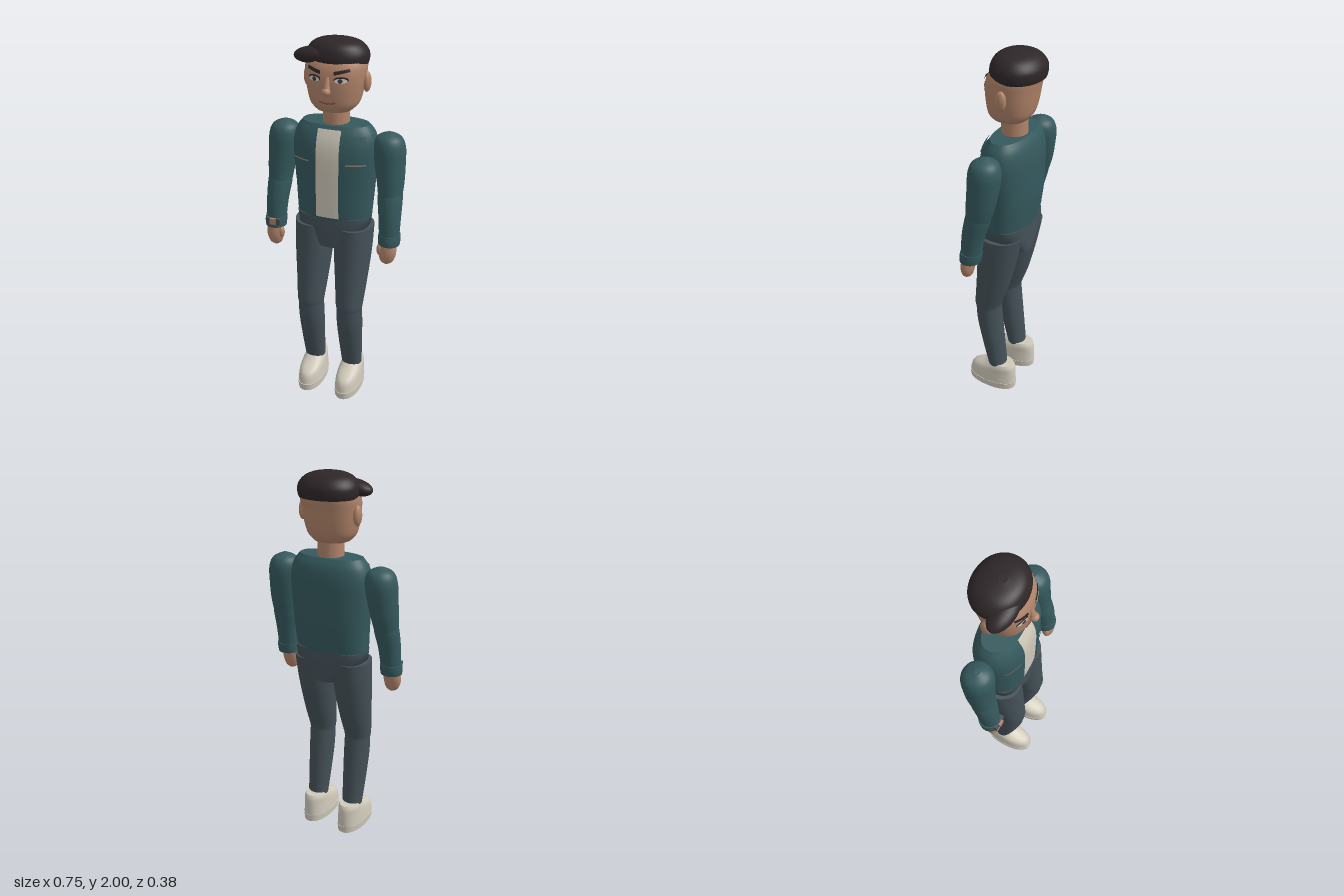
import * as THREE from 'three';

const mat = (name, color, side = THREE.FrontSide) => {
  const m = new THREE.MeshStandardMaterial({ color, side });
  m.name = name;
  return m;
};

// Spline through one column of a section table, t from 0 to 1
const column = (sections, k) => {
  const curve = new THREE.SplineCurve(sections.map((s, i) => new THREE.Vector2(i, s[k])));
  return t => curve.getPoint(t).y;
};

// Closed body from horizontal superellipse sections [y, cx, cz, rx, rz], bottom to top
function loft(sections, { n = 2, steps = 5, seg = 40, side = 1 } = {}) {
  const cols = [0, 1, 2, 3, 4].map(k => column(sections, k));
  const rows = (sections.length - 1) * steps;
  const pos = [], idx = [];
  const pw = v => Math.sign(v) * Math.abs(v) ** (2 / n);
  const ring = t => {
    const [y, cx, cz, rx, rz] = cols.map(c => c(t));
    for (let j = 0; j < seg; j++) {
      const a = (j / seg) * Math.PI * 2;
      pos.push(cx * side + rx * pw(Math.cos(a)), y, cz + rz * pw(Math.sin(a)));
    }
    return [cx * side, y, cz];
  };
  for (let i = 0; i <= rows; i++) ring(i / rows);
  for (let i = 0; i < rows; i++) for (let j = 0; j < seg; j++) {
    const a = i * seg + j, b = i * seg + (j + 1) % seg;
    idx.push(a, a + seg, b, b, a + seg, b + seg);
  }
  // Flat caps with their own vertices keep the rims sharp
  for (const t of [0, 1]) {
    const start = pos.length / 3;
    pos.push(...ring(t));
    for (let j = 0; j < seg; j++) {
      const a = start + j, b = start + (j + 1) % seg;
      if (t) idx.push(start + seg, b, a); else idx.push(start + seg, a, b);
    }
  }
  const g = new THREE.BufferGeometry();
  g.setAttribute('position', new THREE.Float32BufferAttribute(pos, 3));
  g.setIndex(idx);
  g.computeVertexNormals();
  return g;
}

// Front surface z of a lofted body at (x, y)
function frontOf(sections, n) {
  const cols = [0, 2, 3, 4].map(k => column(sections, k));
  return (x, y) => {
    let lo = 0, hi = 1;
    for (let i = 0; i < 24; i++) {
      const mid = (lo + hi) / 2;
      if (cols[0](mid) < y) lo = mid; else hi = mid;
    }
    const [, cz, rx, rz] = cols.map(c => c(lo));
    return cz + rz * Math.max(0, 1 - Math.abs(x / rx) ** n) ** (1 / n);
  };
}

// Lay a flat geometry over a front surface
function drape(g, surface, off) {
  const p = g.attributes.position;
  for (let i = 0; i < p.count; i++) p.setZ(i, surface(p.getX(i), p.getY(i)) + off);
  g.computeVertexNormals();
  return g;
}

// Subdivided quad with corners a, b along the top and c, d along the bottom
function quad(s, a, b, c, d) {
  const g = new THREE.PlaneGeometry(1, 1, 12, 12), p = g.attributes.position;
  for (let i = 0; i < p.count; i++) {
    const u = p.getX(i) + 0.5, v = p.getY(i) + 0.5;
    const mix = k => (a[k] * (1 - u) + b[k] * u) * v + (d[k] * (1 - u) + c[k] * u) * (1 - v);
    p.setXY(i, mix(0) * s, mix(1));
  }
  return g;
}
const rect = (s, x0, x1, y0, y1) => quad(s, [x0, y1], [x1, y1], [x1, y0], [x0, y0]);
const disc = (x, y, rx, ry) => new THREE.CircleGeometry(1, 24).scale(rx, ry, 1).translate(x, y, 0);

const TORSO = [[1.07, 0, -0.018, 0.195, 0.112], [1.1, 0, -0.018, 0.2, 0.118], [1.25, 0, -0.026, 0.21, 0.128],
  [1.4, 0, -0.027, 0.222, 0.128], [1.48, 0, -0.029, 0.222, 0.122], [1.54, 0, -0.031, 0.205, 0.106], [1.58, 0, -0.03, 0.175, 0.082]];
const HEAD = [[1.655, 0, -0.015, 0.09, 0.085], [1.69, 0, -0.018, 0.122, 0.108], [1.75, 0, -0.022, 0.139, 0.12],
  [1.82, 0, -0.027, 0.15, 0.126], [1.88, 0, -0.038, 0.152, 0.124], [1.93, 0, -0.05, 0.13, 0.105]];
const HAIR = [[1.875, 0, -0.056, 0.15, 0.126], [1.9, 0, -0.055, 0.157, 0.132], [1.935, 0, -0.055, 0.154, 0.128],
  [1.97, 0, -0.05, 0.128, 0.106], [1.99, 0, -0.045, 0.085, 0.07], [1.999, 0, -0.04, 0.02, 0.02]];
const UPPER_ARM = [[1.21, 0.305, 0.002, 0.06, 0.062], [1.3, 0.3, -0.014, 0.07, 0.074], [1.4, 0.29, -0.025, 0.079, 0.081],
  [1.48, 0.284, -0.03, 0.081, 0.082], [1.53, 0.281, -0.03, 0.063, 0.063], [1.555, 0.28, -0.03, 0.015, 0.015]];
const FOREARM = [[0.99, 0.318, 0.04, 0.051, 0.051], [1.12, 0.313, 0.024, 0.058, 0.06], [1.21, 0.306, 0.004, 0.064, 0.066], [1.25, 0.304, -0.004, 0.062, 0.064]];
const CUFF = [[0.975, 0.319, 0.042, 0.056, 0.055], [1.0, 0.319, 0.039, 0.058, 0.058], [1.03, 0.318, 0.035, 0.057, 0.057]];
const HAND = [[0.868, 0.314, 0.064, 0.012, 0.01], [0.885, 0.315, 0.063, 0.034, 0.025], [0.93, 0.317, 0.06, 0.047, 0.034], [0.99, 0.317, 0.052, 0.042, 0.033]];
const THIGH = [[0.55, 0.112, 0.064, 0.071, 0.071], [0.58, 0.112, 0.062, 0.075, 0.076], [0.7, 0.111, 0.036, 0.086, 0.092],
  [0.88, 0.11, 0.007, 0.101, 0.108], [1.03, 0.112, -0.012, 0.103, 0.118]];
const SHIN = [[0.15, 0.112, 0.008, 0.057, 0.052], [0.3, 0.112, 0.033, 0.065, 0.063], [0.45, 0.112, 0.055, 0.071, 0.071], [0.57, 0.112, 0.064, 0.07, 0.07]];
const PELVIS = [[0.92, 0, -0.016, 0.068, 0.118], [1.03, 0, -0.017, 0.19, 0.118], [1.09, 0, -0.018, 0.197, 0.114]];
const SOLE = [[0, 0.112, 0.043, 0.07, 0.145], [0.04, 0.112, 0.043, 0.073, 0.148]];
const SHOE = [[0.038, 0.112, 0.042, 0.071, 0.145], [0.1, 0.112, 0.033, 0.066, 0.135], [0.14, 0.112, -0.003, 0.06, 0.095], [0.162, 0.112, -0.016, 0.05, 0.072]];

export function createModel() {
  const model = new THREE.Group();
  const jacket = mat('jacket teal', 0x35595d, THREE.DoubleSide);
  const trousers = mat('trouser grey', 0x445158);
  const skin = mat('skin', 0xb1846a);
  const hair = mat('hair dark', 0x2e2628, THREE.DoubleSide);
  const cream = mat('cream', 0xcfc9ba, THREE.DoubleSide);
  const iris = mat('iris', 0x343a40, THREE.DoubleSide);
  const lips = mat('lips', 0x7b4d40, THREE.DoubleSide);
  const piping = mat('pocket piping', 0x94826f, THREE.DoubleSide);
  const add = (name, g, m) => {
    const mesh = new THREE.Mesh(g, m);
    mesh.name = name;
    model.add(mesh);
    return mesh;
  };
  const ball = (name, m, x, y, z, rx, ry, rz) =>
    add(name, new THREE.SphereGeometry(1, 28, 18).scale(rx, ry, rz).translate(x, y, z), m);
  const chest = frontOf(TORSO, 2.4), face = frontOf(HEAD, 2.3);

  // Trunk
  add('jacketBody', loft(TORSO, { n: 2.4, seg: 64 }), jacket);
  add('shirt', drape(rect(1, -0.062, 0.062, 1.095, 1.565), chest, 0.004), cream);
  add('pelvis', loft(PELVIS, { n: 3, steps: 1 }), trousers);
  add('neck', new THREE.CylinderGeometry(0.067, 0.068, 0.13, 32).translate(0, 1.62, -0.032), skin);

  // Head
  add('head', loft(HEAD, { n: 2.3, seg: 56 }), skin);
  add('hairTop', loft(HAIR, { n: 2.1, seg: 48 }), hair);
  const quiff = ball('hairQuiff', hair, 0, 0, 0, 0.104, 0.041, 0.057);
  quiff.position.set(-0.103, 1.919, 0.016);
  quiff.rotation.set(0, -0.12, 0.12);
  ball('noseTip', skin, 0, 1.77, 0.112, 0.023, 0.021, 0.024);
  add('noseBridge', new THREE.CylinderGeometry(0.011, 0.019, 0.075, 20).rotateX(-0.25).translate(0, 1.803, 0.101), skin);
  const smile = new THREE.QuadraticBezierCurve3(new THREE.Vector3(-0.04, 1.715, face(0.04, 1.715)),
    new THREE.Vector3(0, 1.703, face(0, 1.705) + 0.006), new THREE.Vector3(0.04, 1.715, face(0.04, 1.715)));
  add('mouth', new THREE.TubeGeometry(smile, 16, 0.005, 8), lips);

  for (const s of [1, -1]) {
    const side = s > 0 ? 'left' : 'right';
    const body = (name, table, m, opt) => add(side + name, loft(table, { side: s, ...opt }), m);

    // Face details
    ball(side + 'Ear', skin, s * 0.155, 1.795, -0.043, 0.02, 0.051, 0.029);
    add(side + 'Lash', drape(disc(s * 0.068, 1.829, 0.034, 0.015), face, 0.002), hair);
    add(side + 'EyeWhite', drape(disc(s * 0.068, 1.825, 0.03, 0.012), face, 0.004), cream);
    add(side + 'Iris', drape(disc(s * 0.066, 1.825, 0.011, 0.011), face, 0.006), iris);
    add(side + 'Brow', drape(quad(s, [0.034, 1.868], [0.105, 1.882], [0.108, 1.868], [0.034, 1.851]), face, 0.008), hair);

    // Jacket front
    add(side + 'JacketFront', drape(rect(s, 0.062, 0.18, 1.1, 1.54), chest, 0.007), jacket);
    add(side + 'Lapel', drape(quad(s, [0.062, 1.572], [0.14, 1.572], [0.165, 1.52], [0.085, 1.46]), chest, 0.012), jacket);
    add(side + 'Pocket', drape(rect(s, 0.1, 0.19, 1.29, 1.4), chest, 0.011), jacket);
    add(side + 'PocketPiping', drape(rect(s, 0.098, 0.192, 1.397, 1.404), chest, 0.013), piping);

    // Arm
    body('UpperArm', UPPER_ARM, jacket);
    body('Forearm', FOREARM, jacket);
    body('Cuff', CUFF, jacket);
    body('Hand', HAND, skin);
    ball(side + 'Thumb', skin, s * 0.277, 0.945, 0.068, 0.016, 0.034, 0.017);

    // Leg
    body('Thigh', THIGH, trousers);
    body('Shin', SHIN, trousers);
    body('Sole', SOLE, cream, { n: 2.2, steps: 1 });
    body('Shoe', SHOE, cream, { n: 2.2 });
  }

  // Wristwatch on the right arm
  add('watchBand', new THREE.BoxGeometry(0.08, 0.034, 0.028).translate(-0.315, 1.014, 0.085), trousers);
  add('watchFace', new THREE.BoxGeometry(0.032, 0.034, 0.012).translate(-0.313, 1.016, 0.102), skin);
  return model;
}
